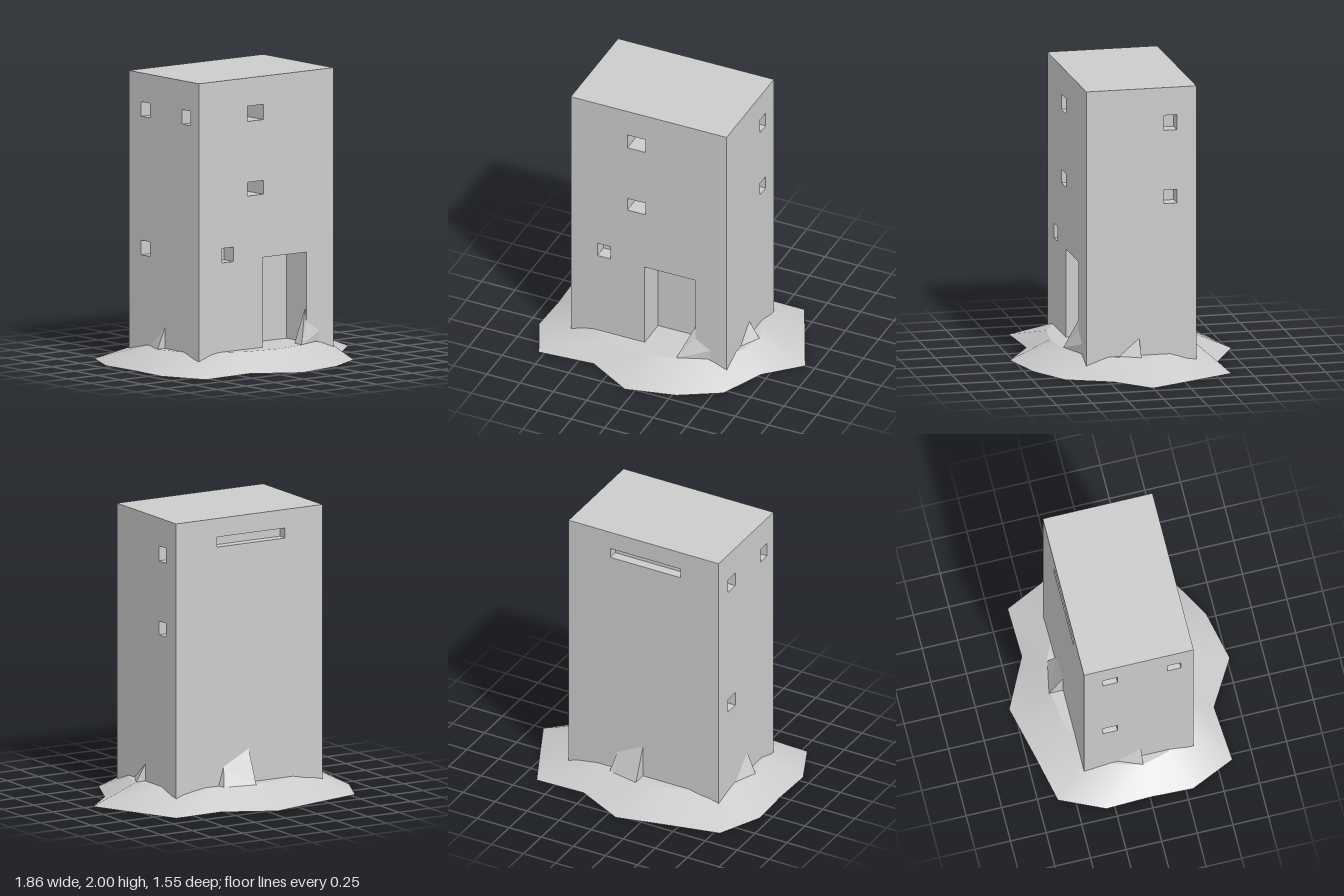
import * as THREE from 'three';

const GREY = new THREE.MeshStandardMaterial({ color: 0xcccccc });
const THIN = new THREE.MeshStandardMaterial({ color: 0xcccccc, side: THREE.DoubleSide });
const X0 = -0.66, X1 = 0.51, Z0 = -0.4, Z1 = 0.37, H = 2, LEDGE = 0.13;

function mesh(name, geometry, material = GREY) {
  const m = new THREE.Mesh(geometry, material);
  m.name = name;
  return m;
}

function surface(points, index) {
  const g = new THREE.BufferGeometry();
  g.setAttribute('position', new THREE.Float32BufferAttribute(points.flat(), 3));
  if (index) g.setIndex(index);
  g.computeVertexNormals();
  return g;
}

// Inward-facing box, open towards the outside of the wall
function pocket([u0, u1, v0, v1, depth]) {
  const g = new THREE.BoxGeometry(u1 - u0, v1 - v0, depth);
  const idx = [...g.index.array];
  idx.splice(24, 6);
  g.setIndex(idx.reverse());
  g.clearGroups();
  g.computeVertexNormals();
  return g.translate((u0 + u1) / 2, (v0 + v1) / 2, -depth / 2);
}

const rect = (P, u0, u1, v0, v1) => new P([[u0, v0], [u1, v0], [u1, v1], [u0, v1]].map(p => new THREE.Vector2(...p)));

// Flat wall with recesses given as [u0, u1, v0, v1, depth]
function wall(name, u0, u1, recesses) {
  const group = new THREE.Group();
  group.name = name;
  const shape = rect(THREE.Shape, u0, u1, 0, H);
  for (const r of recesses) {
    shape.holes.push(rect(THREE.Path, ...r.slice(0, 4)));
    group.add(mesh('recess', pocket(r)));
  }
  group.add(mesh('wallFace', new THREE.ShapeGeometry(shape)));
  return group;
}

function tower() {
  const g = new THREE.Group();
  g.name = 'tower';

  const front = wall('frontWall', X0, X1, [
    [-0.105, 0.275, 0.12, 0.75, 0.22],
    [-0.235, -0.1, 1.7, 1.805, 0.2],
    [-0.235, -0.1, 1.185, 1.28, 0.2],
    [-0.46, -0.36, 0.745, 0.845, 0.1],
  ]);
  front.position.z = Z1;

  const back = wall('backWall', -X1, -X0, [[-0.185, 0.363, 1.8, 1.87, 0.07]]);
  back.position.z = Z0;
  back.rotation.y = Math.PI;

  const left = wall('leftWall', -Z1, -Z0, [
    [0.175, 0.265, 1.7, 1.805, 0.1],
    [0.175, 0.265, 1.185, 1.28, 0.1],
  ]);
  left.position.x = X1;
  left.rotation.y = Math.PI / 2;

  const right = wall('rightWall', Z0, Z1, [
    [-0.265, -0.165, 1.7, 1.8, 0.1],
    [0.187, 0.28, 1.7, 1.8, 0.1],
    [-0.265, -0.165, 0.745, 0.845, 0.1],
  ]);
  right.position.x = X0;
  right.rotation.y = -Math.PI / 2;

  const roof = mesh('roof', new THREE.PlaneGeometry(X1 - X0, Z1 - Z0).rotateX(-Math.PI / 2));
  roof.position.set((X0 + X1) / 2, H, (Z0 + Z1) / 2);
  g.add(front, back, left, right, roof);
  return g;
}

function mound() {
  const g = new THREE.Group();
  g.name = 'mound';

  // Ragged outline on the ground and a regular ledge ring above it
  const outline = [[0.93, 0], [0.7, 0.22], [0.56, 0.53], [0.28, 0.69], [-0.07, 0.77], [-0.39, 0.58],
    [-0.79, 0.61], [-0.93, 0.3], [-0.92, 0], [-0.93, -0.31], [-0.79, -0.615], [-0.43, -0.695],
    [-0.07, -0.78], [0.28, -0.605], [0.64, -0.615], [0.785, -0.31]];
  const n = outline.length;
  const outer = outline.map(([x, z]) => [x, 0, z]);
  const ledge = outline.map((_, i) => {
    const a = (i / n) * Math.PI * 2;
    return [-0.07 + 0.655 * Math.cos(a), LEDGE, 0.49 * Math.sin(a)];
  });
  const slope = [], cap = [], base = [];
  for (let i = 0; i < n; i++) {
    const j = (i + 1) % n;
    slope.push(j, i, n + i, j, n + i, n + j);
    cap.push(j, i, n);
    base.push(i, j, n);
  }
  g.add(mesh('slope', surface([...outer, ...ledge], slope)));
  g.add(mesh('ledge', surface([...ledge, [-0.07, LEDGE, 0]], cap)));
  g.add(mesh('underside', surface([...outer, [-0.07, 0, 0]], base)));

  // Jagged spurs leaning against the walls, each a fan from its foot
  const spurs = {
    frontSpur: [[0.17, LEDGE, 0.45], [0.18, LEDGE, 0.36], [0.275, 0.37, 0.355], [0.275, 0.27, 0.37],
      [0.39, 0.2, 0.37], [0.41, LEDGE, 0.36]],
    leftSpur: [[0.585, LEDGE, 0], [0.51, LEDGE, 0], [0.51, 0.25, 0], [0.51, LEDGE, 0.14]],
    rightSpur: [[-0.725, LEDGE, 0], [-0.66, LEDGE, 0], [-0.66, 0.28, 0], [-0.66, LEDGE, -0.16]],
    backSpur: [[-0.07, LEDGE, -0.5], [-0.07, LEDGE, -0.4], [-0.07, 0.365, -0.4], [0.13, 0.26, -0.4],
      [0.16, LEDGE, -0.455]],
    backSpurEnd: [[0.16, LEDGE, -0.455], [0.13, 0.26, -0.4], [0.17, LEDGE, -0.4]],
  };
  for (const [name, p] of Object.entries(spurs)) {
    const tris = [];
    for (let i = 1; i < p.length - 1; i++) tris.push(p[0], p[i], p[i + 1]);
    g.add(mesh(name, surface(tris), THIN));
  }
  return g;
}

export function createModel() {
  const model = new THREE.Group();
  model.name = 'towerHouse';
  model.add(tower(), mound());
  return model;
}
